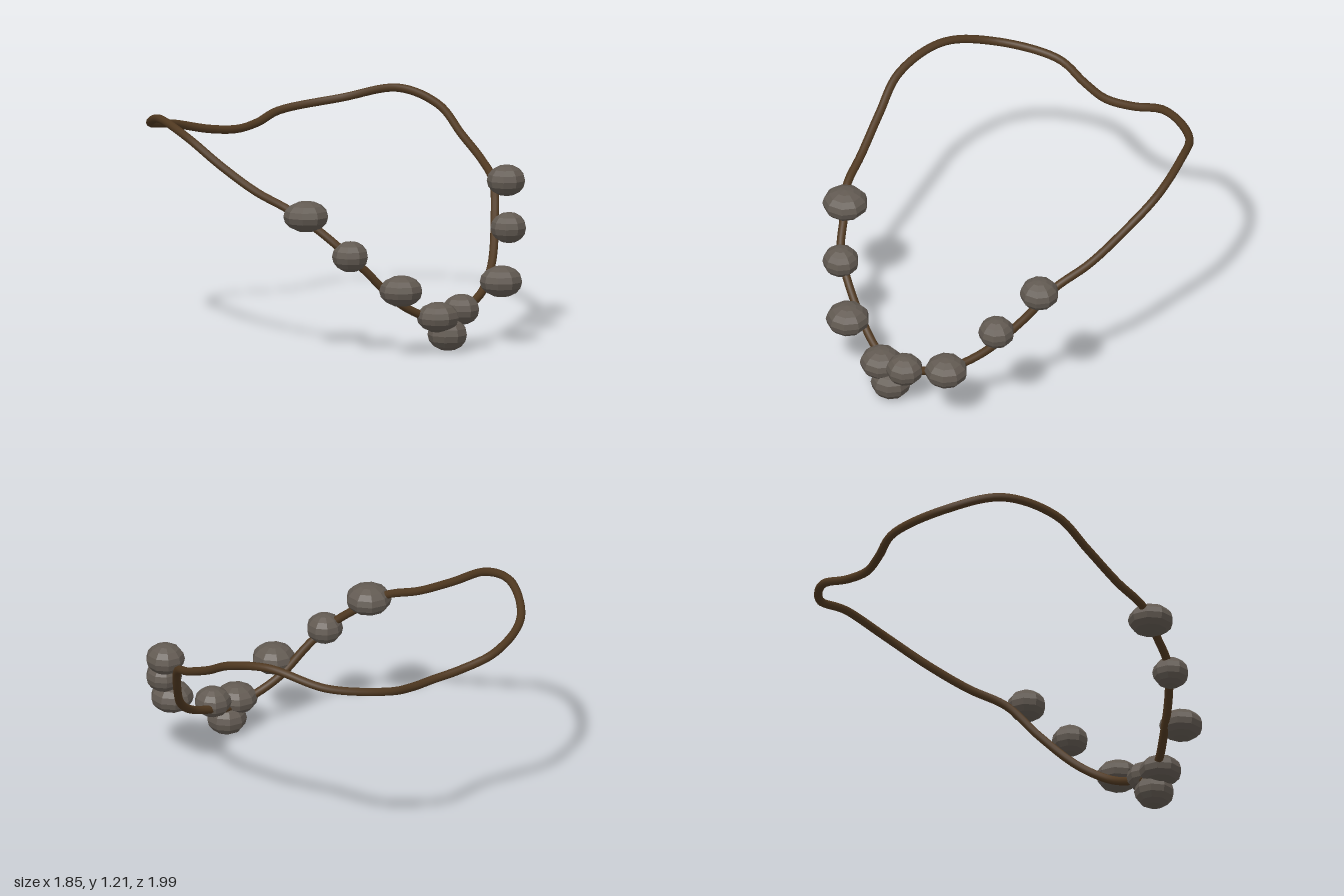
import * as THREE from 'three';

export function createModel() {
  const necklace = new THREE.Group();
  necklace.name = 'necklace';
  const cordBrown = new THREE.MeshStandardMaterial({ color: 0x4f3820 });
  cordBrown.name = 'cordBrown';
  const stoneGrey = new THREE.MeshStandardMaterial({ color: 0x625a52, flatShading: true });
  stoneGrey.name = 'stoneGrey';

  // Closed cord: starts behind the neck, runs down the left, back up the right
  const path = [
    [0, 1.0, -0.915], [0.17, 1.015, -0.94], [0.36, 1.06, -0.975], [0.67, 1.115, -0.82],
    [0.84, 1.185, -0.55], [0.9, 1.12, -0.28], [0.86, 0.99, -0.04], [0.81, 0.88, 0.19],
    [0.73, 0.79, 0.38], [0.62, 0.6, 0.52], [0.47, 0.4, 0.67], [0.3, 0.27, 0.78],
    [0.15, 0.21, 0.82], [0, 0.17, 0.835], [-0.15, 0.2, 0.82], [-0.3, 0.29, 0.77],
    [-0.46, 0.46, 0.71], [-0.57, 0.58, 0.64], [-0.65, 0.69, 0.52], [-0.74, 0.79, 0.39],
    [-0.8, 0.87, 0.19], [-0.86, 0.99, -0.03], [-0.905, 1.12, -0.25], [-0.85, 1.185, -0.55],
    [-0.69, 1.115, -0.82], [-0.38, 1.06, -0.97], [-0.17, 1.015, -0.94],
  ].map((p) => new THREE.Vector3(...p));
  const curve = new THREE.CatmullRomCurve3(path, true);
  const cord = new THREE.Mesh(new THREE.TubeGeometry(curve, 160, 0.023, 10, true), cordBrown);
  cord.name = 'cord';
  necklace.add(cord);

  // Flattened stone beads: x, y, z, radius, half height
  const beads = [
    [-0.68, 0.755, 0.47, 0.125, 0.085],
    [-0.54, 0.545, 0.675, 0.1, 0.085],
    [-0.335, 0.357, 0.86, 0.12, 0.085],
    [-0.085, 0.19, 0.875, 0.117, 0.083],
    [-0.017, 0.09, 0.875, 0.11, 0.09],
    [0.08, 0.217, 0.875, 0.102, 0.084],
    [0.37, 0.34, 0.87, 0.118, 0.086],
    [0.575, 0.593, 0.69, 0.099, 0.085],
    [0.72, 0.815, 0.5, 0.107, 0.086],
  ];
  const stone = new THREE.SphereGeometry(1, 9, 8);
  beads.forEach(([x, y, z, r, h], i) => {
    const bead = new THREE.Mesh(stone, stoneGrey);
    bead.name = `bead${i + 1}`;
    bead.position.set(x, y, z);
    bead.scale.set(r, h, r);
    bead.rotation.y = i * 0.7;
    necklace.add(bead);
  });
  return necklace;
}
